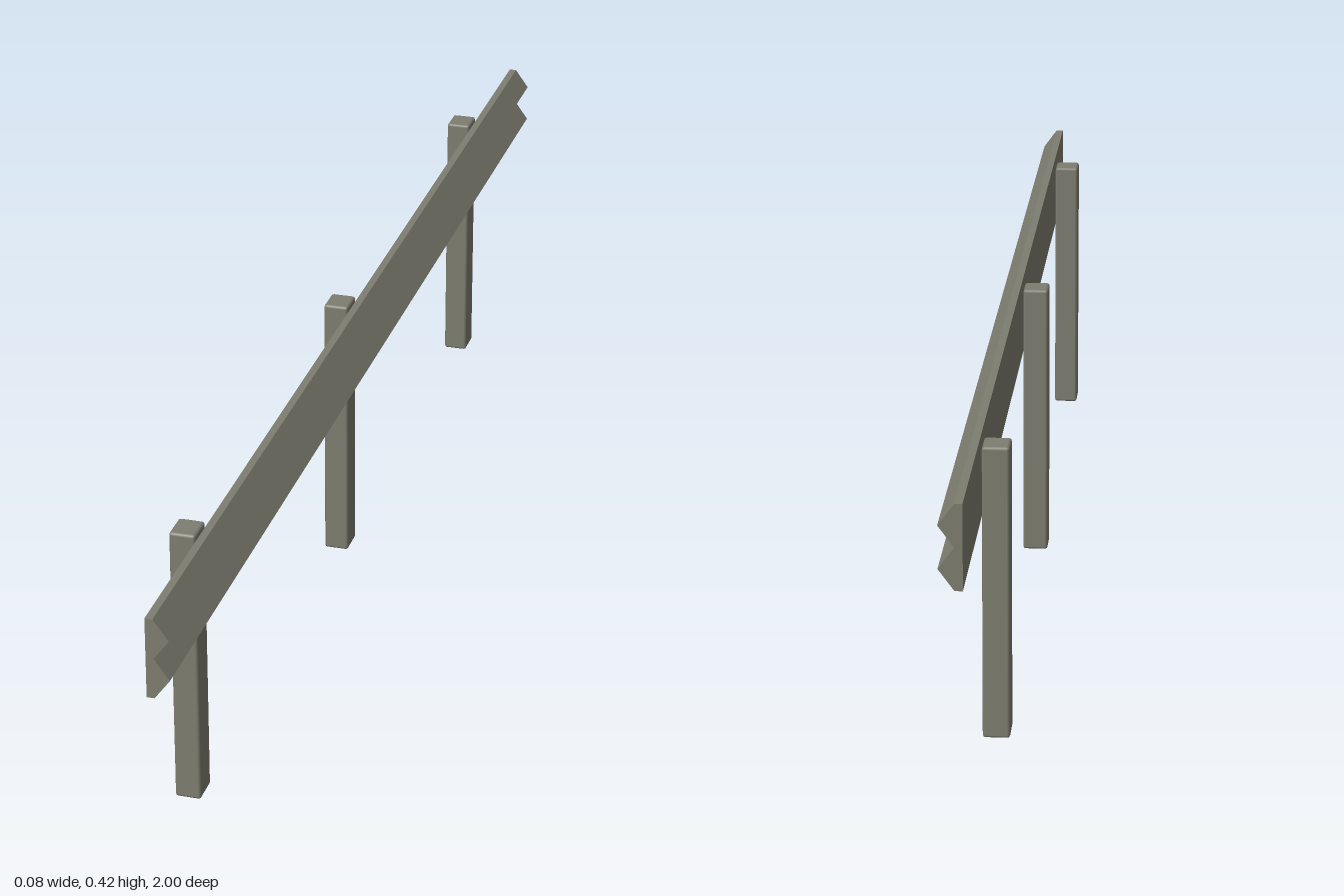
import * as THREE from 'three';
import { RoundedBoxGeometry } from 'three/addons/geometries/RoundedBoxGeometry.js';

export function createModel() {
  const model = new THREE.Group();
  model.name = 'guardRail';
  const metal = new THREE.MeshStandardMaterial({ color: 0x7d7d70 });
  metal.name = 'weatheredGrey';

  // Rail: W-shaped front, flat back, extruded along z
  const profile = [
    [0.005, 0.304], [0.016, 0.304], [0.038, 0.334], [0.016, 0.364],
    [0.038, 0.394], [0.016, 0.424], [0.005, 0.424],
  ];
  const shape = new THREE.Shape(profile.map(([x, y]) => new THREE.Vector2(x, y)));
  const railGeometry = new THREE.ExtrudeGeometry(shape, { depth: 2, bevelEnabled: false });
  railGeometry.translate(0, 0, -1);
  const rail = new THREE.Mesh(railGeometry, metal);
  rail.name = 'rail';
  model.add(rail);

  // Three posts with softened edges standing just behind the rail
  const height = 0.424;
  const postGeometry = new RoundedBoxGeometry(0.038, height, 0.046, 1, 0.004);
  ['backPost', 'middlePost', 'frontPost'].forEach((name, i) => {
    const post = new THREE.Mesh(postGeometry, metal);
    post.name = name;
    post.position.set(-0.019, height / 2, (i - 1) * 0.75);
    model.add(post);
  });

  return model;
}
